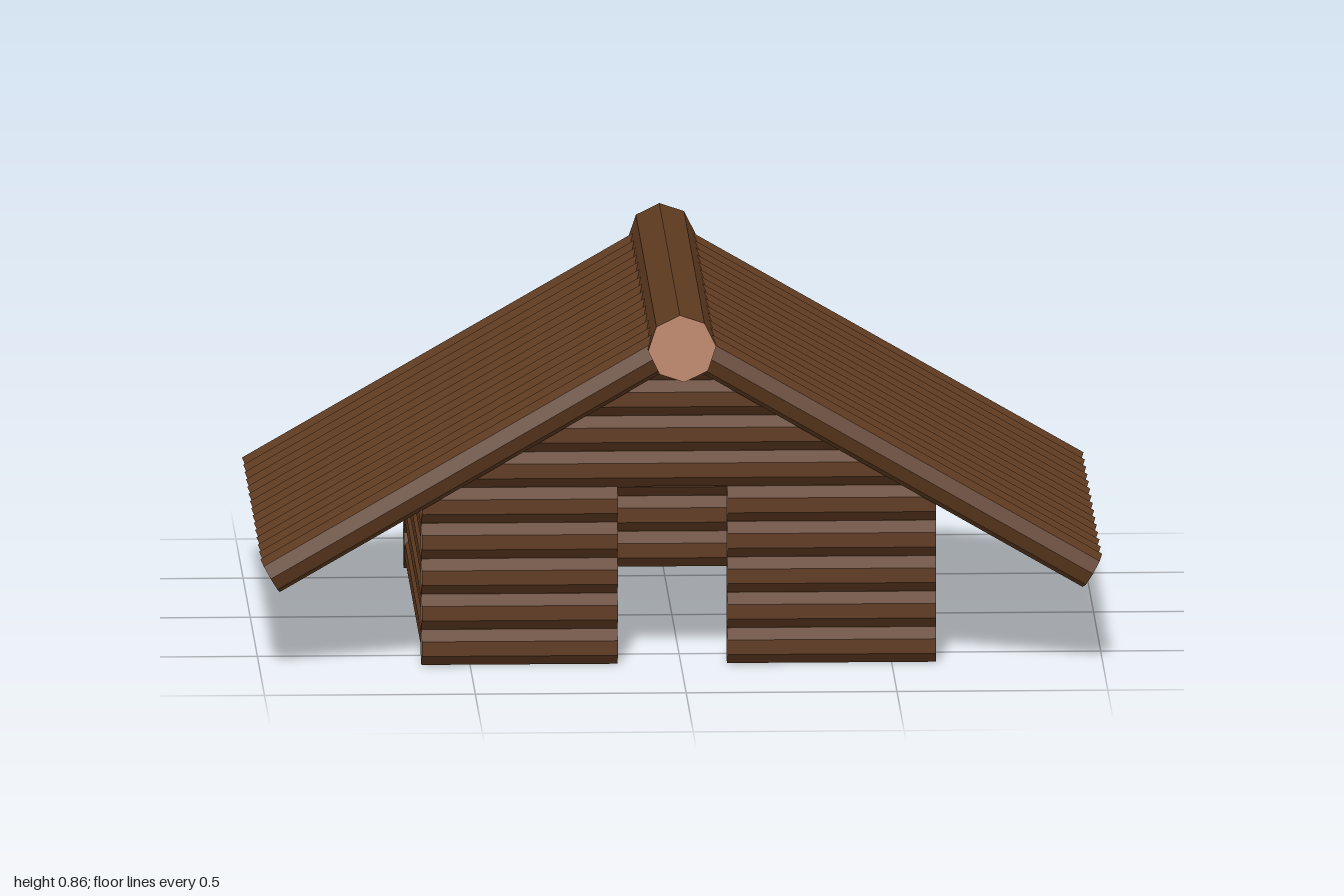
import * as THREE from 'three';

const bark = new THREE.MeshStandardMaterial({ color: 0x5e3a20, flatShading: true });
const cutWood = new THREE.MeshStandardMaterial({ color: 0xc08a70, flatShading: true });
const UP = new THREE.Vector3(0, 1, 0);

// An eight-sided log between two points, with pale cut ends
function addLog(parent, name, from, to, radius, spin = 0) {
  const a = new THREE.Vector3(...from);
  const b = new THREE.Vector3(...to);
  const geometry = new THREE.CylinderGeometry(radius, radius, a.distanceTo(b), 8);
  geometry.rotateY(spin);
  const log = new THREE.Mesh(geometry, [bark, cutWood, cutWood]);
  log.name = name;
  log.position.copy(a).add(b).multiplyScalar(0.5);
  log.quaternion.setFromUnitVectors(UP, b.sub(a).normalize());
  parent.add(log);
}

function addGroup(parent, name) {
  const group = new THREE.Group();
  group.name = name;
  parent.add(group);
  return group;
}

export function createModel() {
  const cabin = new THREE.Group();
  cabin.name = 'logCabin';

  const R = 0.046;
  const FLAT = Math.PI / 8;
  const rowY = (row) => 0.046 + row * 0.0855;
  const FRONT = 0.605, BACK = -0.635;
  const WALL_ROWS = 5;

  const frontWall = addGroup(cabin, 'frontWall');
  const backWall = addGroup(cabin, 'backWall');
  const sideWalls = addGroup(cabin, 'sideWalls');

  for (let row = 0; row < WALL_ROWS; row++) {
    const y = rowY(row);
    // Front wall is split by the doorway
    addLog(frontWall, 'frontLogRight', [-0.615, y, FRONT], [-0.15, y, FRONT], R, FLAT);
    addLog(frontWall, 'frontLogLeft', [0.11, y, FRONT], [0.605, y, FRONT], R, FLAT);
    addLog(backWall, 'backLog', [-0.615, y, BACK], [0.605, y, BACK], R, FLAT);
    for (const x of [-0.57, 0.56]) {
      addLog(sideWalls, 'sideLog', [x, y, -0.65], [x, y, 0.565], R, FLAT);
    }
  }

  // Gable logs shorten towards the ridge
  [0.52, 0.38, 0.225, 0.08].forEach((half, i) => {
    const y = rowY(WALL_ROWS + i);
    addLog(frontWall, 'frontGableLog', [-half, y, FRONT], [half, y, FRONT], R, FLAT);
    addLog(backWall, 'backGableLog', [-half + 0.01, y, BACK], [half - 0.01, y, BACK], R, FLAT);
  });

  // Sloping roof logs on both sides
  const roof = addGroup(cabin, 'roof');
  for (let i = 0; i < 15; i++) {
    const z = 0.657 - i * 0.0927;
    for (const side of [-1, 1]) {
      addLog(roof, 'roofLog', [side * 0.03, 0.774, z], [side * 0.975, 0.228, z], R);
    }
  }

  addLog(roof, 'ridgeLog', [0, 0.78, -0.718], [0, 0.78, 0.718], 0.081, 0.07);

  return cabin;
}
